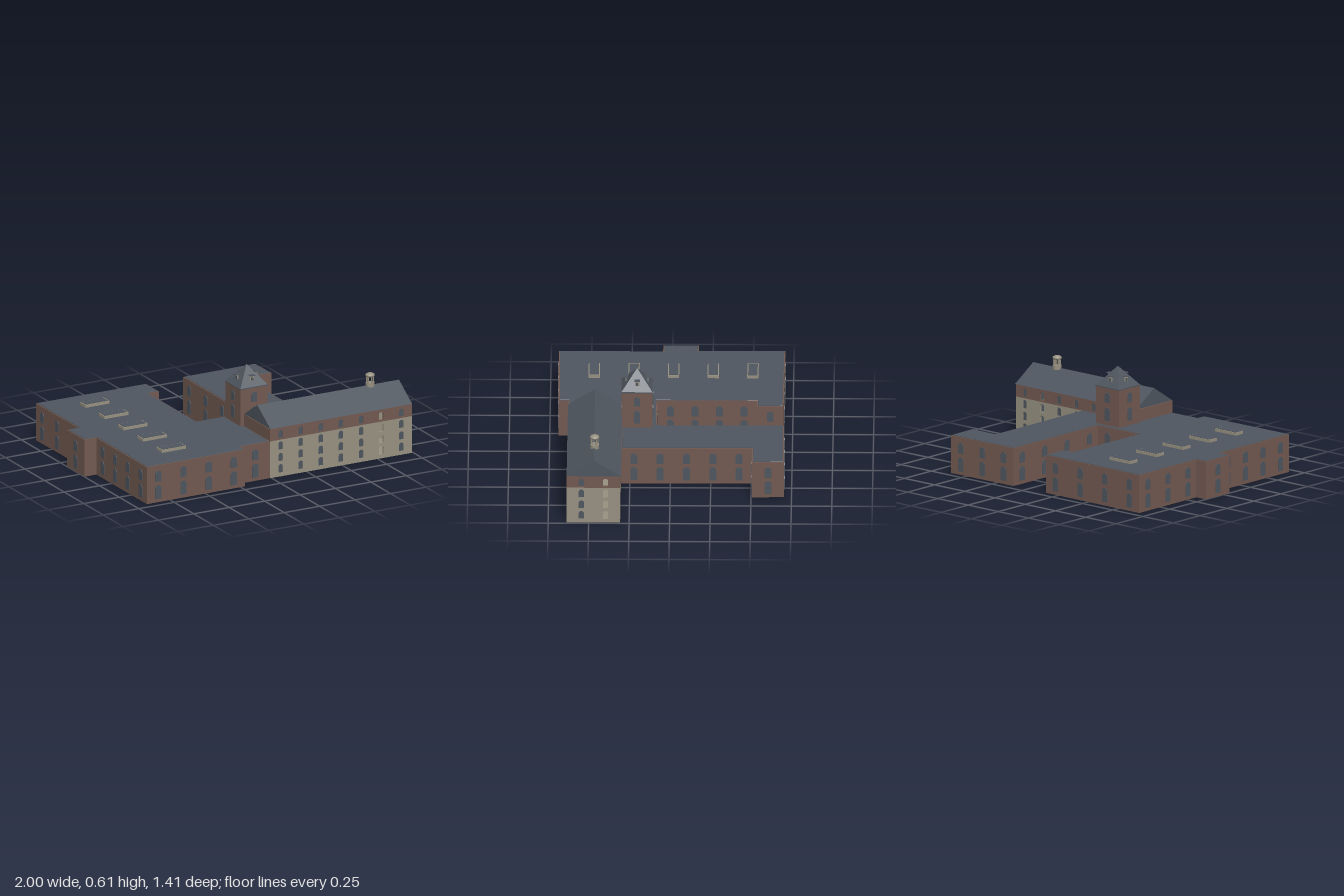
import * as THREE from 'three';

const material = (name, color, side = THREE.FrontSide) => {
  const m = new THREE.MeshStandardMaterial({ color, side });
  m.name = name;
  return m;
};

export function createModel() {
  const brick = material('brick', 0x735a51);
  const stone = material('pale stone', 0x979181);
  const slate = material('slate', 0x4f565f, THREE.DoubleSide);
  const model = new THREE.Group();
  model.name = 'millBuilding';

  const add = (parent, name, geometry, mat, x = 0, y = 0, z = 0) => {
    const mesh = new THREE.Mesh(geometry, mat);
    mesh.name = name;
    mesh.position.set(x, y, z);
    parent.add(mesh);
    return mesh;
  };
  const box = (parent, name, mat, w, h, d, x, y, z) =>
    add(parent, name, new THREE.BoxGeometry(w, h, d), mat, x, y, z);
  const group = (name, x, y, z, turn = 0) => {
    const g = new THREE.Group();
    g.name = name;
    g.position.set(x, y, z);
    g.rotation.y = turn;
    model.add(g);
    return g;
  };
  // Round-headed opening, centred on x, from y0 to y1
  const arch = (x, y0, y1, w, Type = THREE.Shape) => {
    const s = new Type(), r = w / 2;
    s.moveTo(x - r, y0);
    s.lineTo(x + r, y0);
    s.lineTo(x + r, y1 - r);
    s.absarc(x, y1 - r, r, 0, Math.PI, false);
    s.lineTo(x - r, y0);
    return s;
  };
  const extrude = (shape, depth, extra = {}) =>
    new THREE.ExtrudeGeometry(shape, { depth, bevelEnabled: false, curveSegments: 8, ...extra });
  const pane = (parent, x, y0, y1, w) =>
    add(parent, 'window', extrude(arch(x, y0, y1, w), 0.004), slate);

  // Flat-roofed wings: one footprint of x, z corners
  const plan = [
    [-0.925, -0.70], [-0.15, -0.695], [-0.15, -0.53], [-0.225, -0.53], [-0.225, 0.085],
    [0.115, 0.085], [0.115, -0.70], [0.625, -0.705], [0.63, -0.505], [0.435, -0.505],
    [0.44, 0.305], [-0.01, 0.305], [-0.01, 0.632], [-0.22, 0.635], [-0.22, 0.695],
    [-0.915, 0.70], [-0.915, 0.055], [-1, 0.055], [-1, -0.165], [-0.92, -0.165],
  ];
  const footprint = new THREE.Shape(plan.map(([x, z]) => new THREE.Vector2(x, -z)));
  add(model, 'wingWalls', extrude(footprint, 0.24).rotateX(-Math.PI / 2), brick);
  const inset = { bevelEnabled: true, bevelThickness: 0.001, bevelSize: 0.001, bevelOffset: -0.008, bevelSegments: 1 };
  add(model, 'wingRoof', extrude(footprint, 0.003, inset).rotateX(-Math.PI / 2), slate, 0, 0.24, 0);

  // Two rows of windows along every exposed wing wall
  plan.forEach(([ax, az], i) => {
    const [bx, bz] = plan[(i + 1) % plan.length];
    const dx = bx - ax, dz = bz - az, length = Math.hypot(dx, dz);
    if (length < 0.12 || i === 10 || i === 11) return;
    const n = 1 + Math.max(0, Math.round((length - 0.16) / 0.18));
    const side = group('wingWindows', (ax + bx) / 2, 0, (az + bz) / 2, Math.atan2(dz, -dx));
    for (let k = 0; k < n; k++) {
      const x = n === 1 ? 0 : (k / (n - 1) - 0.5) * (length - 0.16);
      pane(side, x, 0.023, 0.112, 0.043);
      pane(side, x, 0.136, 0.205, 0.043);
    }
  });

  // Skylights
  for (let i = 0; i < 5; i++) {
    const z = -0.502 + i * 0.245;
    box(model, 'skylightFrame', stone, 0.17, 0.024, 0.07, -0.62, 0.25, z);
    box(model, 'skylightGlass', slate, 0.156, 0.004, 0.058, -0.62, 0.262, z);
  }

  // Hollow main hall with pierced walls
  const wallT = 0.012, rows = [[0.025, 0.08], [0.1, 0.153], [0.175, 0.228], [0.25, 0.302]];
  const hallWall = (name, width, columns, open, x, z, turn) => {
    const wall = group(name, x, 0, z, turn);
    [[0, 0.24, stone, rows.slice(0, 3)], [0.24, 0.32, brick, rows.slice(3)]].forEach(([y0, y1, mat, list]) => {
      const s = new THREE.Shape([[-1, y0], [1, y0], [1, y1], [-1, y1]]
        .map(([sx, y]) => new THREE.Vector2(sx * width / 2, y)));
      columns.forEach((cx, k) => list.forEach(([a, b]) => {
        s.holes.push(arch(cx, a, b, 0.032, THREE.Path));
        if (k !== open) pane(wall, cx, a, b, 0.032).position.z = -0.008;
      }));
      add(wall, 'hallWallBand', extrude(s, wallT), mat, 0, 0, -wallT);
    });
  };
  const bays = Array.from({ length: 7 }, (_, i) => (i - 3) * 0.142);
  hallWall('hallFront', 1, bays, 5, 0.49, 0.635, 0);
  hallWall('hallBack', 1, bays, 1, 0.49, 0.305, Math.PI);
  hallWall('hallEnd', 0.33, [-0.075, 0.075], 1, 0.99, 0.47, Math.PI / 2);
  box(model, 'hallInnerEnd', brick, wallT, 0.315, 0.326, -0.004, 0.16, 0.47);
  box(model, 'hallFloor', stone, 0.996, 0.006, 0.326, 0.49, 0.003, 0.47);

  // Gabled hall roof
  const gable = new THREE.Shape([[-0.168, 0], [0.168, 0], [0, 0.108]].map(p => new THREE.Vector2(...p)));
  add(model, 'hallRoof', extrude(gable, 1).rotateY(Math.PI / 2), slate, -0.008, 0.32, 0.468);

  // Ridge cupola
  const cupola = group('cupola', 0.79, 0, 0.464);
  add(cupola, 'cupolaBase', new THREE.CylinderGeometry(0.028, 0.028, 0.026, 16), stone, 0, 0.43, 0);
  for (let i = 0; i < 6; i++) {
    const a = i * Math.PI / 3;
    add(cupola, 'cupolaColumn', new THREE.CylinderGeometry(0.004, 0.004, 0.045, 8), stone,
      Math.sin(a) * 0.021, 0.463, Math.cos(a) * 0.021);
  }
  const dome = [[0, 0], [0.024, 0], [0.03, 0.007], [0.028, 0.014], [0.018, 0.021], [0, 0.024]];
  add(cupola, 'cupolaDome', new THREE.LatheGeometry(dome.map(p => new THREE.Vector2(...p)), 16), stone, 0, 0.482, 0);

  // Tower with pyramid roof
  const tx = 0.06, tz = 0.208, half = 0.096;
  box(model, 'towerWalls', brick, half * 2, 0.482, half * 2, tx, 0.241, tz);
  box(model, 'towerEave', slate, half * 2 + 0.006, 0.006, half * 2 + 0.006, tx, 0.484, tz);
  const pyramid = new THREE.ConeGeometry(half * Math.SQRT2, 0.12, 4, 1).toNonIndexed();
  pyramid.rotateY(Math.PI / 4);
  pyramid.computeVertexNormals();
  add(model, 'towerRoof', pyramid, slate, tx, 0.547, tz);

  // Tower windows and dormers on all four sides
  for (let i = 0; i < 4; i++) {
    const turn = i * Math.PI / 2, nx = Math.sin(turn), nz = Math.cos(turn);
    const face = group('towerSide', tx + nx * half, 0, tz + nz * half, turn);
    pane(face, 0, 0.275, 0.358, 0.04);
    pane(face, 0, 0.39, 0.453, 0.04);
    const dormer = group('dormer', tx + nx * 0.068, 0, tz + nz * 0.068, turn);
    box(dormer, 'dormerFrame', stone, 0.028, 0.042, 0.006, 0, 0.53, 0);
    box(dormer, 'dormerGlass', slate, 0.014, 0.02, 0.004, 0, 0.53, 0.003);
    box(dormer, 'dormerCap', slate, 0.034, 0.004, 0.028, 0, 0.553, 0);
  }
  return model;
}
